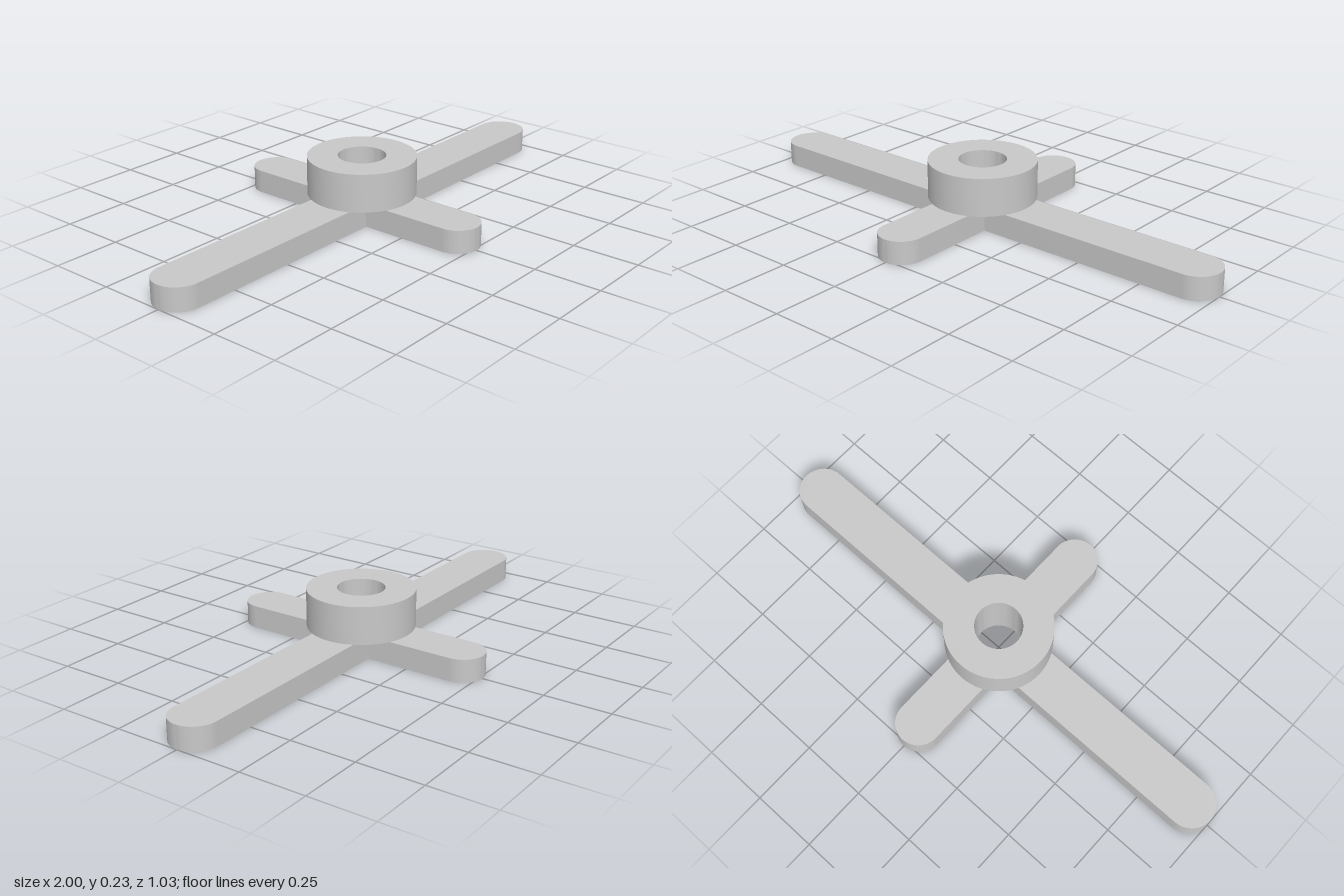
import * as THREE from 'three';
import { toCreasedNormals } from 'three/addons/utils/BufferGeometryUtils.js';

const BORE = 0.088, ARM_TOP = 0.087, HUB_TOP = 0.23, HUB_RADIUS = 0.2;
const LONG = { reach: 1, half: 0.09 };
const SHORT = { reach: 0.513, half: 0.085 };

// Extrude a plan shape with the central bore upward from y0 to y1
function boredPlate(shape, y0, y1) {
  const bore = new THREE.Path();
  bore.absarc(0, 0, BORE, 0, Math.PI * 2, true);
  shape.holes.push(bore);
  const geometry = new THREE.ExtrudeGeometry(shape, { depth: y1 - y0, bevelEnabled: false, curveSegments: 32 });
  geometry.rotateX(-Math.PI / 2);
  geometry.translate(0, y0, 0);
  return toCreasedNormals(geometry, Math.PI / 6);
}

// Cross outline, counter-clockwise: each arm's round end, then the inner corner after it
function crossShape() {
  const shape = new THREE.Shape();
  for (let i = 0; i < 4; i++) {
    const [arm, next] = i % 2 ? [SHORT, LONG] : [LONG, SHORT];
    const angle = i * Math.PI / 2;
    const c = Math.round(Math.cos(angle)), s = Math.round(Math.sin(angle));
    const centre = arm.reach - arm.half;
    shape.absarc(c * centre, s * centre, arm.half, angle - Math.PI / 2, angle + Math.PI / 2, false);
    shape.lineTo(c * next.half - s * arm.half, s * next.half + c * arm.half);
  }
  shape.closePath();
  return shape;
}

export function createModel() {
  const model = new THREE.Group();
  model.name = 'crossHandle';
  const grey = new THREE.MeshStandardMaterial({ color: 0xc8c8c8 });
  grey.name = 'grey';

  // Flat cross of arms
  const arms = new THREE.Mesh(boredPlate(crossShape(), 0, ARM_TOP), grey);
  arms.name = 'crossArms';

  // Raised ring hub
  const circle = new THREE.Shape();
  circle.absarc(0, 0, HUB_RADIUS, 0, Math.PI * 2, false);
  const hub = new THREE.Mesh(boredPlate(circle, ARM_TOP, HUB_TOP), grey);
  hub.name = 'hub';

  model.add(arms, hub);
  return model;
}
